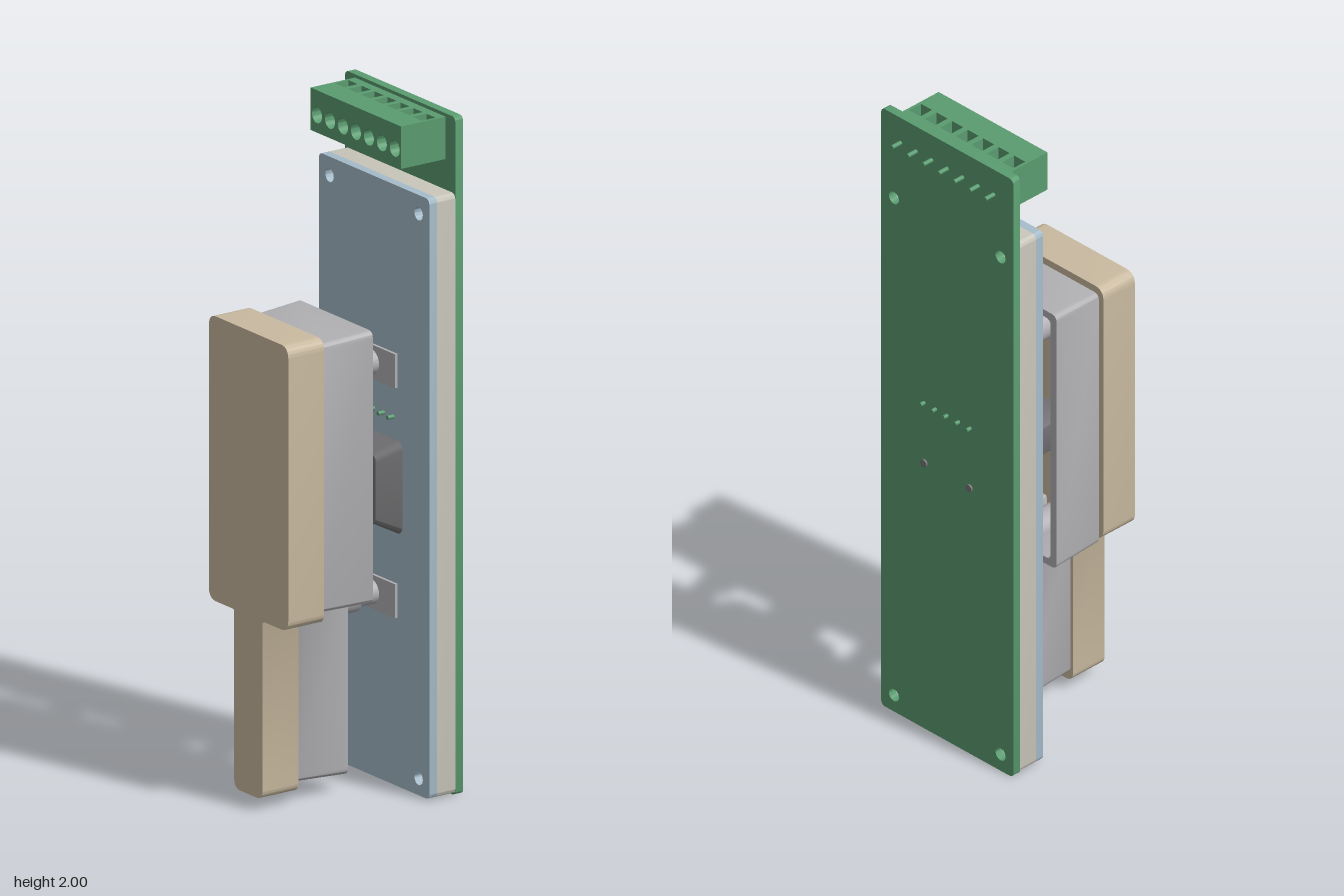
import * as THREE from 'three';
import { toCreasedNormals } from 'three/addons/utils/BufferGeometryUtils.js';

const material = (name, color) => {
  const m = new THREE.MeshStandardMaterial({ color });
  m.name = name;
  return m;
};

// Outline from [x, y, radius] corners, listed anticlockwise
function rounded(points, Type = THREE.Shape) {
  const s = new Type();
  const n = points.length;
  points.forEach(([x, y, r], i) => {
    const toward = ([px, py]) => {
      const d = Math.hypot(px - x, py - y);
      return [x + (px - x) / d * r, y + (py - y) / d * r];
    };
    const a = toward(points[(i + n - 1) % n]);
    const b = toward(points[(i + 1) % n]);
    if (i) s.lineTo(...a); else s.moveTo(...a);
    if (r > 0) s.quadraticCurveTo(x, y, ...b);
  });
  s.closePath();
  return s;
}

const rect = (x0, y0, x1, y1, r = 0, Type = THREE.Shape) =>
  rounded([[x0, y0, r], [x1, y0, r], [x1, y1, r], [x0, y1, r]], Type);

const circle = (x, y, r) => new THREE.Path().absarc(x, y, r, 0, Math.PI * 2, true);

export function createModel() {
  const root = new THREE.Group();
  const green = material('board green', 0x5a9c70);
  const blue = material('pale blue', 0xa5bbc9);
  const cream = material('cream', 0xc8c5ba);
  const tan = material('tan', 0xc9baa0);
  const grey = material('light grey', 0xb0afb2);
  const dark = material('dark grey', 0x747476);

  function add(name, geometry, mat, parent = root) {
    const mesh = new THREE.Mesh(geometry, mat);
    mesh.name = name;
    parent.add(mesh);
    return mesh;
  }
  // Extrude an outline from z0 to z1, optionally moving its points by a rule
  function slab(name, shape, z0, z1, mat, rule, parent = root) {
    const g = new THREE.ExtrudeGeometry(shape, { depth: z1 - z0, bevelEnabled: false, curveSegments: 12 });
    g.translate(0, 0, z0);
    if (rule) {
      const p = g.attributes.position;
      const v = new THREE.Vector3();
      for (let i = 0; i < p.count; i++) {
        rule(v.fromBufferAttribute(p, i));
        p.setXYZ(i, v.x, v.y, v.z);
      }
    }
    return add(name, toCreasedNormals(g, 0.6), mat, parent);
  }
  // Round pin along z
  function pin(name, x, y, z0, z1, r, mat) {
    const g = new THREE.CylinderGeometry(r, r, z1 - z0, 24);
    g.rotateX(Math.PI / 2).translate(x, y, (z0 + z1) / 2);
    return add(name, g, mat);
  }

  // Circuit board, spacer and face plate share four mounting holes
  const drilled = (y0, y1) => {
    const s = rect(-0.264, y0, 0.264, y1, 0.018);
    for (const x of [-0.213, 0.213])
      for (const y of [0.055, 1.72]) s.holes.push(circle(x, y, 0.02));
    return s;
  };
  slab('circuitBoard', drilled(0, 2), -0.26, -0.233, green);
  slab('spacer', drilled(0.005, 1.775), -0.233, -0.17, cream);
  slab('facePlate', drilled(0.005, 1.775), -0.17, -0.143, blue);

  // Terminal block: screw holes in front, square wire pockets on top, pins behind
  const terminal = new THREE.Group();
  terminal.name = 'terminalBlock';
  root.add(terminal);
  const front = rect(-0.217, 1.865, 0.217, 1.99);
  const back = rect(-0.217, 0.14, 0.217, 0.233);
  for (let i = -3; i <= 3; i++) {
    const x = i * 0.062;
    front.holes.push(circle(x, 1.917, 0.024));
    back.holes.push(rect(x - 0.022, 0.158, x + 0.022, 0.205, 0, THREE.Path));
    pin('terminalPin', x, 1.917, -0.295, -0.25, 0.0065, green);
  }
  slab('terminalFront', front, -0.14, -0.08, green, null, terminal);
  const rear = slab('terminalRear', back, 1.9, 1.99, green, null, terminal);
  rear.geometry.rotateX(-Math.PI / 2);
  const floor = new THREE.BoxGeometry(0.434, 0.035, 0.093).translate(0, 1.8825, -0.1865);
  add('terminalFloor', floor, green, terminal);

  // Handle: tan front cap
  slab('handleCap', rounded([
    [-0.069, 0.035, 0.03], [0.067, 0.035, 0.03], [0.067, 0.562, 0.008], [0.19, 0.562, 0.035],
    [0.19, 1.402, 0.035], [-0.19, 1.402, 0.035], [-0.19, 0.562, 0.035], [-0.069, 0.562, 0.008],
  ]), 0.167, 0.291, tan);

  // Handle: grey open-backed shell, widening toward the back
  const shellOutline = (t, Type) => rounded([
    [-0.058 + t, 0.06 + t, 0.02], [0.058 - t, 0.06 + t, 0.02],
    [0.058 - t, 0.588 + t, 0.006], [0.172 - t, 0.588 + t, 0.02],
    [0.172 - t, 1.38 - t, 0.02], [-0.172 + t, 1.38 - t, 0.02],
    [-0.172 + t, 0.545 + t, 0.02], [-0.058 + t, 0.545 + t, 0.006],
  ], Type);
  const shell = shellOutline(0);
  shell.holes.push(shellOutline(0.022, THREE.Path));
  slab('handleShell', shell, -0.008, 0.167, grey, (v) => {
    const t = (0.167 - v.z) / 0.175;
    v.x *= 1 + 0.05 * t;
    v.y = 0.72 + (v.y - 0.72) * (1 + 0.015 * t);
  });

  // Two push switches behind the handle
  for (const y of [0.552, 1.23]) {
    slab('switchBase', rect(-0.112, y - 0.05, 0.112, y + 0.05), -0.15, -0.134, grey);
    pin('switchStem', 0, y, -0.14, -0.065, 0.036, grey);
    pin('switchPost', 0, y, -0.068, 0.168, 0.047, grey);
  }

  // Central pivot: flared base, shaft and two legs through the board
  slab('pivotBase', rect(-0.137, 0.75, 0.137, 1.025, 0.03), -0.144, -0.075, dark, (v) => {
    const k = 1 - 0.26 * THREE.MathUtils.clamp((v.z + 0.144) / 0.069, 0, 1);
    v.x *= k;
    v.y = 0.8875 + (v.y - 0.8875) * k;
  });
  slab('pivotShaft', rect(-0.062, 0.84, 0.062, 0.936, 0.008), -0.08, 0.168, dark);
  for (const x of [-0.09, 0.09]) pin('pivotLeg', x, 0.89, -0.266, -0.14, 0.012, dark);

  // Row of five signal pins
  for (let i = -2; i <= 2; i++) pin('signalPin', i * 0.046, 1.09, -0.276, -0.122, 0.006, green);

  return root;
}
